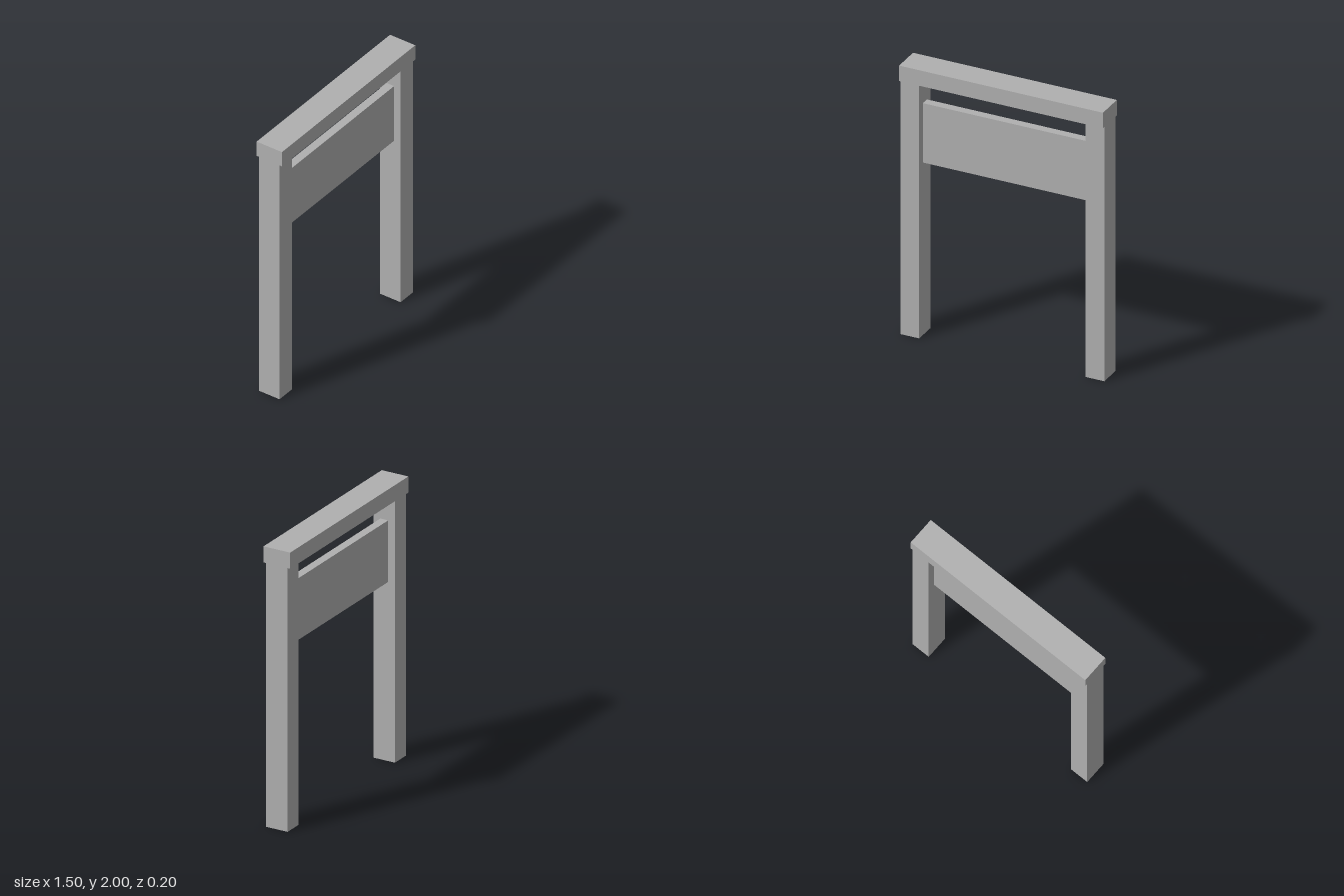
import * as THREE from 'three';

export function createModel() {
  const group = new THREE.Group();
  const grey = new THREE.MeshStandardMaterial({ color: 0xb0b0b0 });
  grey.name = 'plain grey';

  // Box given by its centre x, its bottom and top, its width and its depth
  const addBox = (name, x, bottom, top, width, depth) => {
    const mesh = new THREE.Mesh(new THREE.BoxGeometry(width, top - bottom, depth), grey);
    mesh.name = name;
    mesh.position.set(x, (bottom + top) / 2, 0);
    group.add(mesh);
  };

  const halfWidth = 0.75, postWidth = 0.138, beamBottom = 1.885;

  // Posts
  for (const [name, side] of [['leftPost', 1], ['rightPost', -1]]) {
    addBox(name, side * (halfWidth - postWidth / 2), 0, beamBottom, postWidth, 0.165);
  }

  // Beam across the top
  addBox('topBeam', 0, beamBottom, 2, halfWidth * 2, 0.205);

  // Sign panel hung between the posts
  addBox('signPanel', 0, 1.28, 1.72, (halfWidth - postWidth) * 2, 0.06);

  return group;
}
